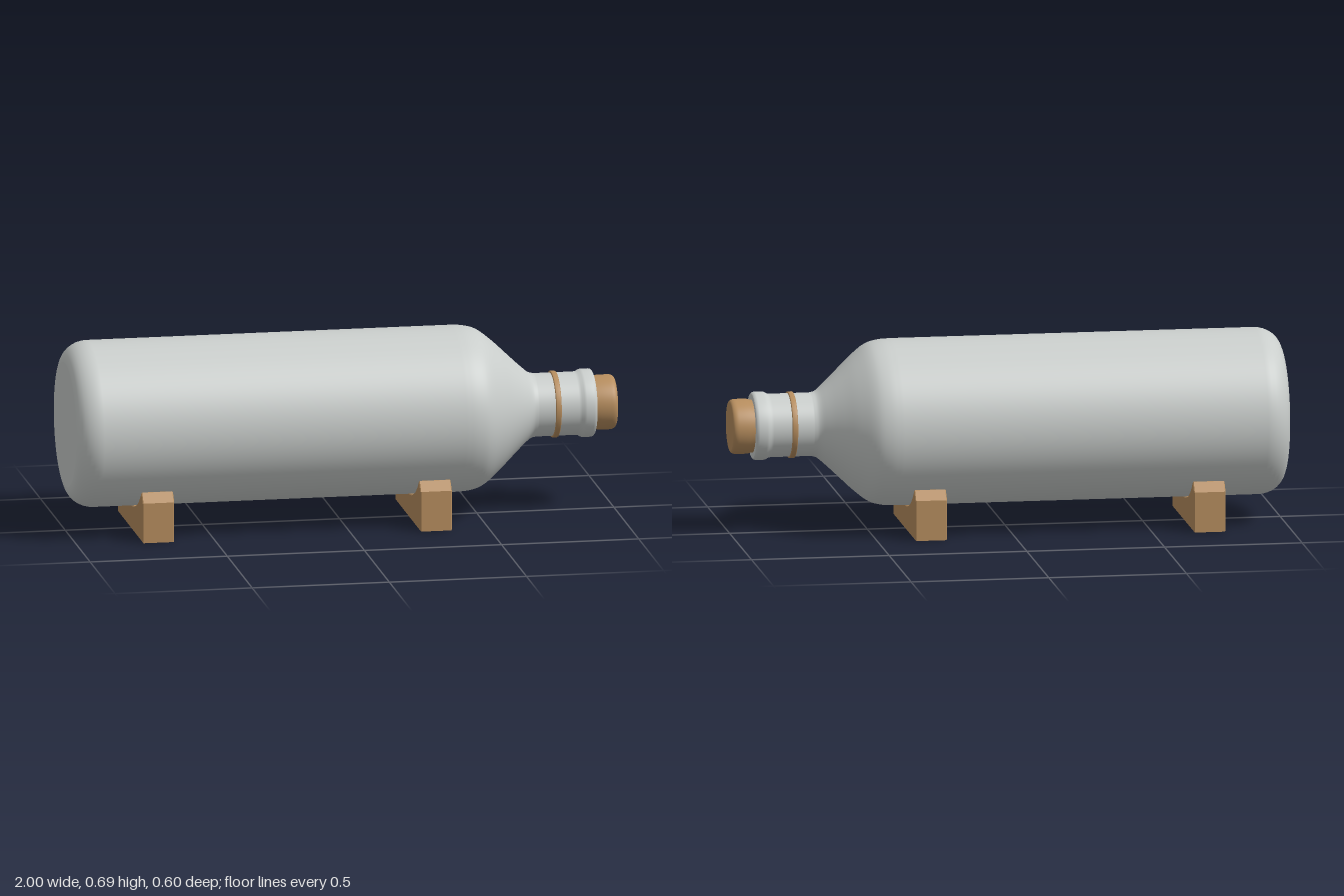
import * as THREE from 'three';

const AXIS_Y = 0.39;
const BODY_R = 0.3;

// Turn a [radius, x] profile about the bottle's long axis; repeated points make a crisp edge.
function turned(name, profile, material) {
  const points = profile.map(([r, x]) => new THREE.Vector2(r, x));
  const geometry = new THREE.LatheGeometry(points, 96);
  geometry.rotateZ(-Math.PI / 2);
  const mesh = new THREE.Mesh(geometry, material);
  mesh.name = name;
  mesh.position.y = AXIS_Y;
  return mesh;
}

// Quarter-round from the end cap to the side, as [radius, x] points.
function roundedEnd(x, r, dx, dr, steps = 8) {
  return Array.from({ length: steps + 1 }, (_, i) => {
    const a = (i / steps) * Math.PI / 2;
    return [r - dr + dr * Math.sin(a), x + dx * (1 - Math.cos(a))];
  });
}

export function createModel() {
  const grey = new THREE.MeshStandardMaterial({ color: 0xc9cdcb });
  grey.name = 'pale grey';
  const wood = new THREE.MeshStandardMaterial({ color: 0xb68d5e });
  wood.name = 'cork wood';

  const model = new THREE.Group();
  model.name = 'bottleOnStand';

  // Bottle: rounded base, straight body, shoulder, neck and lip
  const shoulder = new THREE.CatmullRomCurve3([
    [0.3, 0.41], [0.297, 0.455], [0.284, 0.5], [0.242, 0.555], [0.19, 0.61],
    [0.143, 0.66], [0.119, 0.69], [0.114, 0.71],
  ].map(([r, x]) => new THREE.Vector3(r, x, 0))).getPoints(28).map((p) => [p.x, p.y]);
  model.add(turned('bottle', [
    [0, -1], [0.225, -1],
    ...roundedEnd(-1, BODY_R, 0.09, 0.075),
    ...shoulder,
    [0.114, 0.855], [0.116, 0.865], [0.121, 0.873], [0.123, 0.882],
    [0.123, 0.908], [0.121, 0.916], [0.116, 0.92],
    [0.116, 0.92], [0.09, 0.92],
  ], grey));

  // Thin band round the neck
  model.add(turned('neckBand', [
    [0.112, 0.769], [0.118, 0.769], [0.12, 0.772], [0.12, 0.786], [0.118, 0.789], [0.112, 0.789],
  ], wood));

  // Stopper with a softened outer end
  model.add(turned('stopper', [
    [0.095, 0.9], [0.095, 0.925], [0.099, 0.94], [0.099, 0.975],
    ...roundedEnd(1, 0.099, -0.02, 0.012, 6).reverse(),
    [0.087, 1], [0, 1],
  ], wood));

  // Cradle blocks: chamfered top corners and a hollow that fits the body
  const hollow = BODY_R + 0.003;
  const topY = 0.18;
  const halfAngle = Math.acos((AXIS_Y - topY) / hollow);
  const outline = new THREE.Shape();
  outline.moveTo(-0.25, 0);
  outline.lineTo(0.25, 0);
  outline.lineTo(0.25, 0.146);
  outline.lineTo(0.222, topY);
  outline.lineTo(hollow * Math.sin(halfAngle), topY);
  outline.absarc(0, AXIS_Y, hollow, -Math.PI / 2 + halfAngle, -Math.PI / 2 - halfAngle, true);
  outline.lineTo(-0.222, topY);
  outline.lineTo(-0.25, 0.146);
  outline.closePath();
  const bevel = 0.003;
  const width = 0.115;
  const block = new THREE.ExtrudeGeometry(outline, {
    depth: width - 2 * bevel, curveSegments: 40,
    bevelSize: bevel, bevelThickness: bevel, bevelOffset: -bevel, bevelSegments: 1,
  });
  block.translate(0, 0, bevel - width / 2);
  block.rotateY(Math.PI / 2);
  for (const [name, x] of [['baseCradle', -0.705], ['shoulderCradle', 0.307]]) {
    const cradle = new THREE.Mesh(block, wood);
    cradle.name = name;
    cradle.position.x = x;
    model.add(cradle);
  }

  return model;
}
